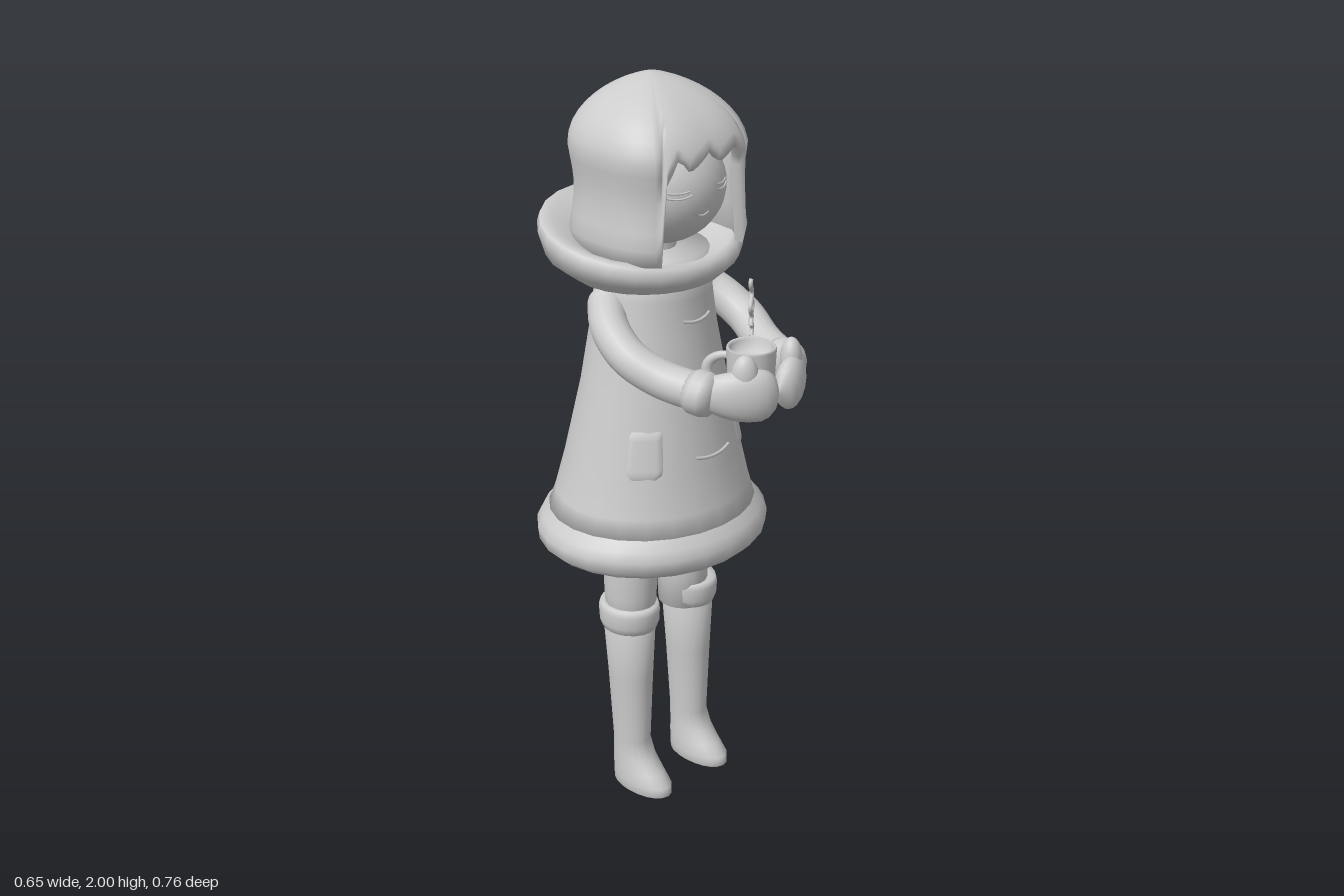
import * as THREE from 'three';

const mat = new THREE.MeshStandardMaterial({ color: 0xcccccc, side: THREE.DoubleSide });
const lerp = THREE.MathUtils.lerp;
const V = (x, y, z) => new THREE.Vector3(x, y, z);

function add(parent, name, geo, pos) {
  const m = new THREE.Mesh(geo, mat);
  m.name = name;
  if (pos) m.position.set(...pos);
  parent.add(m);
  return m;
}

// Closed skin over rows of points; fn(row, angle) gives a point, angle 0 faces the front
function skin(rows, seg, fn, capStart, capEnd) {
  const pos = [], idx = [];
  for (let r = 0; r < rows; r++)
    for (let j = 0; j < seg; j++) pos.push(...fn(r, (j / seg) * Math.PI * 2));
  for (let r = 0; r < rows - 1; r++)
    for (let j = 0; j < seg; j++) {
      const k = (j + 1) % seg, a = r * seg + j, b = r * seg + k;
      idx.push(a, b, b + seg, a, b + seg, a + seg);
    }
  const cap = (r, flip) => {
    const c = [0, 0, 0], n = pos.length / 3;
    for (let j = 0; j < seg; j++)
      for (let i = 0; i < 3; i++) c[i] += pos[(r * seg + j) * 3 + i] / seg;
    pos.push(...c);
    for (let j = 0; j < seg; j++) {
      const a = r * seg + j, b = r * seg + (j + 1) % seg;
      idx.push(n, flip ? b : a, flip ? a : b);
    }
  };
  if (capStart) cap(0, true);
  if (capEnd) cap(rows - 1, false);
  const g = new THREE.BufferGeometry();
  g.setAttribute('position', new THREE.Float32BufferAttribute(pos, 3));
  g.setIndex(idx);
  g.computeVertexNormals();
  return g;
}

// Elliptical rings: [y, rx, rz, cz, tilt]
function loft(rings, seg = 24, capStart = true, capEnd = true) {
  return skin(rings.length, seg, (r, a) => {
    const [y, rx, rz, cz = 0, tilt = 0] = rings[r], dz = Math.cos(a) * rz;
    return [Math.sin(a) * rx, y + tilt * dz, cz + dz];
  }, capStart, capEnd);
}

const tube = (pts, r, n = 16, radial = 8) =>
  new THREE.TubeGeometry(new THREE.CatmullRomCurve3(pts), n, r, radial);

// Coat body, from hem to neck
const coat = [
  [0.82, 0.296, 0.268, -0.093], [0.9, 0.272, 0.242, -0.09], [1.0, 0.247, 0.218, -0.087],
  [1.2, 0.202, 0.179, -0.083], [1.35, 0.172, 0.156, -0.085], [1.45, 0.156, 0.147, -0.085],
  [1.56, 0.14, 0.145, -0.085]];

function coatPoint(a, y, off) {
  let i = 0;
  while (i < coat.length - 2 && y > coat[i + 1][0]) i++;
  const p = coat[i], q = coat[i + 1], t = (y - p[0]) / (q[0] - p[0]);
  const [rx, rz, cz] = [1, 2, 3].map(k => lerp(p[k], q[k], t));
  return V(Math.sin(a) * (rx + off), y, cz + Math.cos(a) * (rz + off));
}

function buildCoat(g) {
  add(g, 'coat', loft(coat));
  add(g, 'coatHem', loft([
    [0.79, 0.215, 0.192, -0.092], [0.762, 0.235, 0.208, -0.092], [0.745, 0.262, 0.235, -0.092],
    [0.747, 0.296, 0.267, -0.092], [0.768, 0.32, 0.288, -0.092], [0.8, 0.324, 0.291, -0.092],
    [0.825, 0.31, 0.279, -0.093], [0.85, 0.288, 0.26, -0.093]], 24, true, false));
  add(g, 'collar', loft([
    [1.475, 0.14, 0.13, -0.085, 0], [1.49, 0.2, 0.185, -0.105, -0.02],
    [1.535, 0.26, 0.232, -0.125, -0.1], [1.58, 0.274, 0.249, -0.13, -0.2],
    [1.604, 0.266, 0.242, -0.13, -0.2], [1.606, 0.24, 0.212, -0.12, -0.2],
    [1.58, 0.205, 0.18, -0.1, -0.17], [1.55, 0.13, 0.12, -0.085, -0.05]], 24, false, false));
  // Pockets: slightly raised patches that follow the coat
  for (const s of [-1, 1]) {
    const geo = new THREE.PlaneGeometry(1, 1, 10, 10), p = geo.attributes.position;
    for (let i = 0; i < p.count; i++) {
      const u = p.getX(i), v = p.getY(i);
      const rim = Math.max(Math.abs(u), Math.abs(v)) > 0.49;
      const round = v < -0.3 ? 1 - 8 * (v + 0.3) ** 2 : 1;
      const q = coatPoint(s * 0.82 + u * 0.44 * round, 1.065 + v * 0.13, rim ? -0.003 : 0.003);
      p.setXYZ(i, q.x, q.y, q.z);
    }
    geo.computeVertexNormals();
    add(g, 'pocket', geo);
  }
  // Front toggles
  [[1.035, 0.27], [1.21, 0.32], [1.39, 0.3]].forEach(([y, w]) => {
    const pts = [-1, -0.5, 0, 0.5, 1].map(t => coatPoint(t * w + 0.05, y + 0.008 * t * t, 0.001));
    add(g, 'toggle', tube(pts, 0.0045, 12, 6));
  });
}

// Lower edge of the hair: a jagged fringe between long side locks
function fringe(x, z) {
  if (z < 0.02) return 1.57;
  const e = [[-0.14, 1.75], [-0.1, 1.84], [-0.07, 1.8], [0, 1.845], [0.03, 1.81], [0.1, 1.84], [0.145, 1.76]];
  if (x < e[0][0] || x > e[6][0]) return 1.57;
  let i = 0;
  while (i < 5 && x > e[i + 1][0]) i++;
  return lerp(e[i][1], e[i + 1][1], (x - e[i][0]) / (e[i + 1][0] - e[i][0]));
}

function buildHead(g) {
  const head = { x: 0.008, y: 1.725, z: -0.07, rx: 0.168, ry: 0.153, rz: 0.17 };
  add(g, 'head', new THREE.SphereGeometry(1, 32, 24), [head.x, head.y, head.z])
    .scale.set(head.rx, head.ry, head.rz);
  add(g, 'neck', new THREE.CylinderGeometry(0.055, 0.065, 0.14, 16), [0, 1.56, -0.085]);
  const INNER = 5, OUTER = 20;
  add(g, 'hair', skin(INNER + OUTER, 96, (r, a) => {
    const s = Math.sin(a), c = Math.cos(a), n = 2.6;
    const k = 1 / (Math.abs(s) ** n + Math.abs(c) ** n) ** (1 / n);
    const bottom = fringe(0.01 + 0.212 * k * s, -0.075 + 0.202 * k * c);
    const inner = r < INNER;
    const t = inner ? 1 : 1 - (r - INNER) / (OUTER - 1);
    const y = inner ? lerp(1.87, bottom + 0.004, r / (INNER - 1)) : 2 - (2 - bottom) * t * t;
    const d = Math.max(0, (y - 1.82) / 0.18);
    let f = d > 0 ? Math.max(0, 1 - d * d) ** 0.68
      : 1 - 0.06 * Math.sin(Math.PI * Math.min(1, (1.82 - y) / 0.2));
    if (inner) f *= 0.87;
    else if (r === INNER) f *= 0.96;
    return [0.01 + 0.212 * f * k * s, y, -0.075 - 0.025 * d + 0.202 * f * k * c];
  }));
  // Closed eyes with lashes, and a small mouth, laid on the face
  const face = (x, y) => V(x, y, head.z + head.rz *
    Math.sqrt(1 - ((x - head.x) / head.rx) ** 2 - ((y - head.y) / head.ry) ** 2));
  const stroke = (name, x, y, w, dip) => add(g, name, tube(
    [-1, -0.5, 0, 0.5, 1].map(t => face(x + t * w, y - dip * (1 - t * t))), 0.0025, 12, 6));
  for (const s of [-1, 1]) {
    stroke('eyelid', head.x - 0.008 + s * 0.072, 1.736, 0.032, 0.007);
    stroke('eyeCrease', head.x - 0.008 + s * 0.072, 1.746, 0.026, 0.003);
  }
  stroke('mouth', -0.003, 1.684, 0.02, 0.008);
}

// Mitten curved round the mug: ellipses carried along a path
function mittenGeometry(s) {
  const path = new THREE.CatmullRomCurve3([
    V(s * 0.142, 1.288, 0.24), V(s * 0.112, 1.288, 0.293), V(s * 0.062, 1.286, 0.336), V(s * 0.002, 1.284, 0.352)]);
  const rows = 12;
  return skin(rows, 20, (r, a) => {
    const t = r / (rows - 1), c = path.getPoint(t), dir = path.getTangent(t);
    const side = V(0, 1, 0).cross(dir).normalize(), up = dir.clone().cross(side);
    const end = Math.sqrt(Math.max(0.02, 1 - Math.max(0, (t - 0.7) / 0.3) ** 2));
    const high = (0.042 + 0.026 * Math.sin(Math.min(1, t / 0.6) * Math.PI / 2)) * end;
    const p = c.addScaledVector(side, Math.cos(a) * 0.035 * end).addScaledVector(up, Math.sin(a) * high);
    return p.toArray();
  }, true, true);
}

function buildArm(g, s) {
  const path = new THREE.CatmullRomCurve3([
    V(s * 0.15, 1.43, -0.1), V(s * 0.192, 1.395, -0.045), V(s * 0.209, 1.345, 0.04),
    V(s * 0.183, 1.305, 0.13), V(s * 0.149, 1.288, 0.235)]);
  add(g, 'shoulder', new THREE.SphereGeometry(0.049, 20, 14), path.getPoint(0).toArray());
  add(g, 'sleeve', new THREE.TubeGeometry(path, 24, 0.049, 16));
  const profile = [[0.02, -0.04], [0.048, -0.037], [0.057, -0.02], [0.058, 0.008], [0.05, 0.03], [0.02, 0.036]];
  const cuff = add(g, 'sleeveCuff',
    new THREE.LatheGeometry(profile.map(p => new THREE.Vector2(...p)), 18), path.getPoint(1).toArray());
  cuff.quaternion.setFromUnitVectors(V(0, 1, 0), path.getTangent(1));
  add(g, 'mitten', mittenGeometry(s));
  const thumb = add(g, 'mittenThumb', new THREE.SphereGeometry(1, 20, 14), [s * 0.084, 1.338, 0.316]);
  thumb.scale.set(0.034, 0.055, 0.028);
  thumb.rotation.y = s * 0.7;
}

function buildMug(g) {
  const mug = new THREE.Group();
  mug.name = 'mug';
  mug.position.set(-0.012, 1.23, 0.27);
  g.add(mug);
  const profile = [[0, 0], [0.05, 0], [0.056, 0.01], [0.063, 0.15], [0.06, 0.156], [0.053, 0.15], [0.05, 0.12], [0, 0.12]];
  add(mug, 'mugBody', new THREE.LatheGeometry(profile.map(p => new THREE.Vector2(...p)), 24));
  const handle = add(mug, 'mugHandle', new THREE.TorusGeometry(0.04, 0.01, 8, 20, Math.PI), [-0.027, 0.08, -0.052]);
  handle.rotation.order = 'YXZ';
  handle.rotation.set(0, Math.atan2(0.88, -0.47), -Math.PI / 2);
  handle.scale.set(1.1, 1.4, 1);
  // Wisps of steam
  [[-0.02, 0.22, 0.015], [0.02, 0.17, -0.02]].forEach(([x, y, z]) => {
    const pts = Array.from({ length: 17 }, (_, i) => {
      const w = Math.sin(i * 0.75);
      return V(x + 0.01 * w, y + i * 0.0075, z - 0.007 * w);
    });
    add(mug, 'steam', tube(pts, 0.006, 32, 6));
  });
}

function buildLeg(g, name, x, topShift) {
  const leg = new THREE.Group();
  leg.name = name;
  leg.position.x = x;
  g.add(leg);
  const thigh = loft([[0.5, 0.064, 0.068, -0.085], [0.6, 0.068, 0.073, -0.085], [0.86, 0.077, 0.08, -0.085]], 18);
  thigh.translate(topShift, 0, 0);
  add(leg, 'thigh', thigh);
  add(leg, 'boot', loft([
    [0.004, 0.047, 0.09, -0.035], [0.01, 0.054, 0.099, -0.036], [0.035, 0.056, 0.098, -0.037],
    [0.065, 0.053, 0.083, -0.052], [0.1, 0.049, 0.067, -0.067], [0.15, 0.046, 0.056, -0.078],
    [0.35, 0.056, 0.066, -0.081], [0.52, 0.067, 0.076, -0.084]], 20));
  add(leg, 'bootCuff', loft([
    [0.495, 0.06, 0.066, -0.084], [0.5, 0.07, 0.078, -0.084], [0.52, 0.077, 0.085, -0.084],
    [0.555, 0.079, 0.087, -0.084], [0.572, 0.074, 0.082, -0.084], [0.57, 0.055, 0.06, -0.084]], 20));
}

export function createModel() {
  const g = new THREE.Group();
  g.name = 'girlWithHotDrink';
  buildCoat(g);
  buildHead(g);
  for (const s of [-1, 1]) buildArm(g, s);
  buildMug(g);
  buildLeg(g, 'rightLeg', -0.097, 0.006);
  buildLeg(g, 'leftLeg', 0.125, -0.018);
  return g;
}
